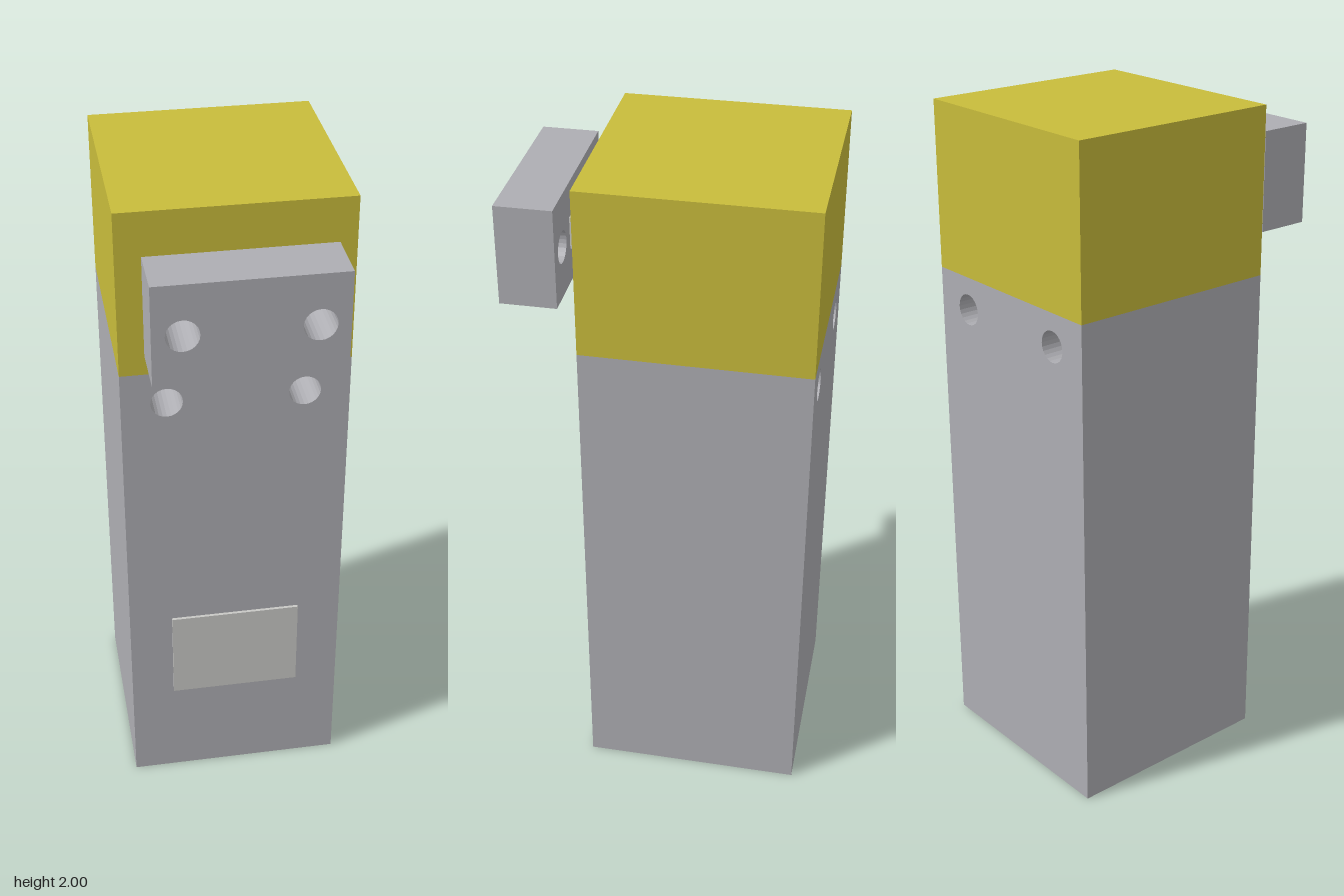
import * as THREE from 'three';

const mat = (name, color) => {
  const m = new THREE.MeshStandardMaterial({ color });
  m.name = name;
  return m;
};

// Rectangle from (x0, y0) to (x1, y1) with round holes [x, y, r], extruded along +z.
function drilledBlock(x0, y0, x1, y1, depth, holes) {
  const shape = new THREE.Shape();
  shape.moveTo(x0, y0);
  shape.lineTo(x1, y0);
  shape.lineTo(x1, y1);
  shape.lineTo(x0, y1);
  shape.closePath();
  for (const [x, y, r] of holes) {
    const hole = new THREE.Path();
    hole.absarc(x, y, r, 0, Math.PI * 2, true);
    shape.holes.push(hole);
  }
  return new THREE.ExtrudeGeometry(shape, { depth, bevelEnabled: false, curveSegments: 12 });
}

export function createModel() {
  const group = new THREE.Group();
  group.name = 'sensorBlock';

  const grey = mat('housing grey', 0xaeaeb3);
  const yellow = mat('cap yellow', 0xc8bc3b);
  const pale = mat('pale grey', 0xc8c8c5);

  const add = (name, geometry, material) => {
    const mesh = new THREE.Mesh(geometry, material);
    mesh.name = name;
    group.add(mesh);
  };
  const box = (x0, x1, y0, y1, z0, z1) =>
    new THREE.BoxGeometry(x1 - x0, y1 - y0, z1 - z0)
      .translate((x0 + x1) / 2, (y0 + y1) / 2, (z0 + z1) / 2);

  const W = 0.327, BACK = -0.443, FRONT = 0.212;
  const SOCKET = 0.17, CAP = 1.51;

  // Foot of the housing with the round socket underneath
  const foot = drilledBlock(-W, -FRONT, W, -BACK, SOCKET, [[0, -(BACK + FRONT) / 2, 0.147]]);
  add('housingFoot', foot.rotateX(-Math.PI / 2), grey);

  // Housing with two mounting holes running front to back
  const housing = drilledBlock(-W, SOCKET, W, CAP, FRONT - BACK,
    [-1, 1].map((s) => [s * 0.197, 1.412, 0.046]));
  add('housing', housing.translate(0, 0, BACK), grey);

  // Coloured top
  add('cap', box(-W, W, CAP, 2, BACK, FRONT), yellow);

  // Actuator: neck and drilled bar in front of the cap
  add('actuatorNeck', box(-0.098, 0.098, 1.71, 1.805, FRONT, 0.279), pale);
  const bar = drilledBlock(-0.262, 1.61, 0.262, 1.905, 0.164,
    [-1, 1].map((s) => [s * 0.18, 1.757, 0.046]));
  add('actuatorBar', bar.translate(0, 0, 0.279), grey);

  // Rating plate low on the front
  add('ratingPlate', box(-0.197, 0.196, 0.33, 0.625, FRONT, 0.221), pale);

  return group;
}
